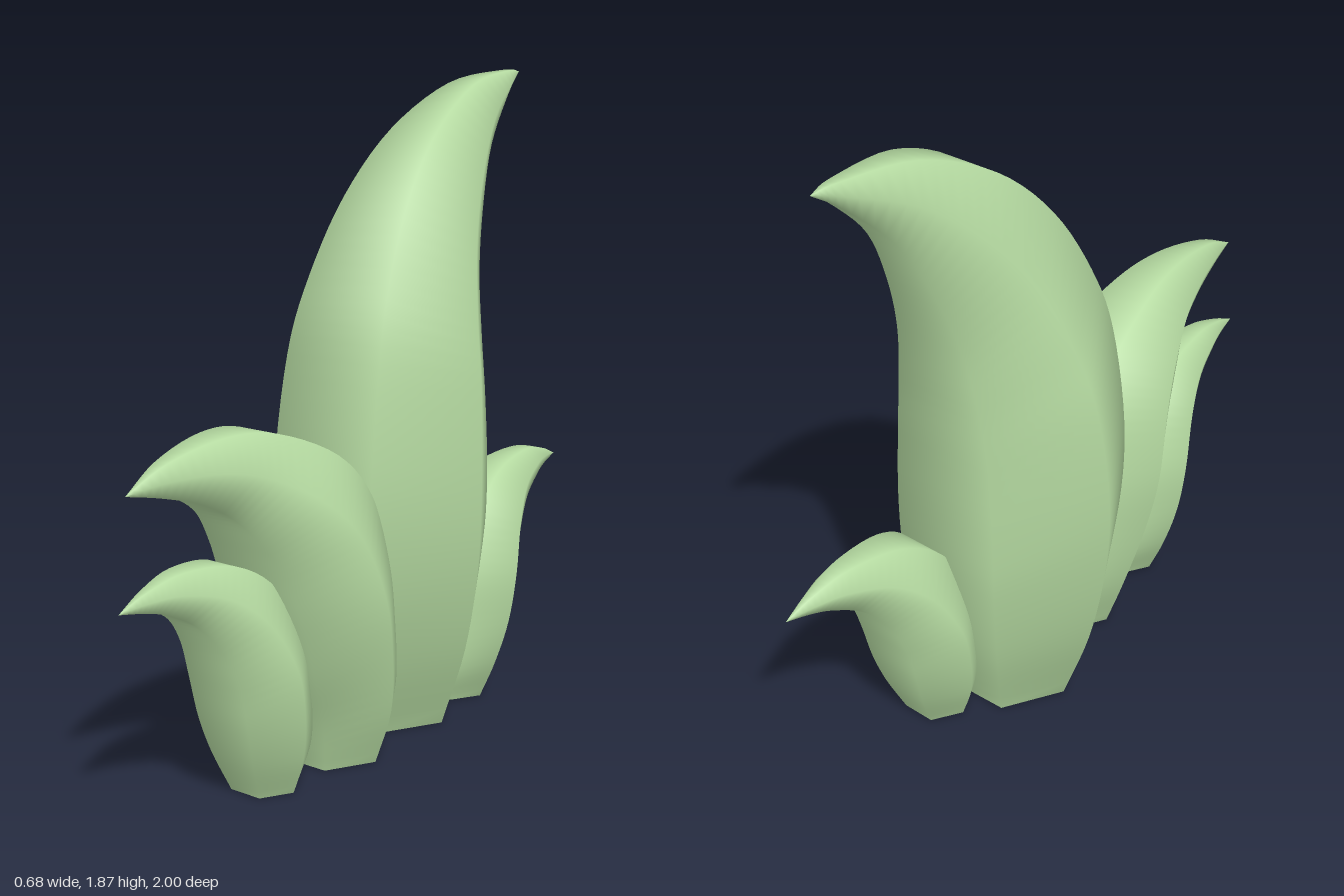
import * as THREE from 'three';

const material = new THREE.MeshStandardMaterial({ color: 0xb5daa1 });

// Stations from base to tip: [front z, front y, back z, back y, half width]
const TALL = [
  [-0.025, 0, -0.365, 0, 0.2], [0.06, 0.25, -0.43, 0.25, 0.285],
  [0.115, 0.5, -0.465, 0.5, 0.33], [0.125, 0.78, -0.472, 0.7, 0.34],
  [0.075, 1.12, -0.472, 0.93, 0.318], [0, 1.335, -0.48, 1.12, 0.275],
  [-0.13, 1.55, -0.505, 1.3, 0.22], [-0.316, 1.727, -0.565, 1.48, 0.16],
  [-0.56, 1.845, -0.66, 1.66, 0.093], [-0.8, 1.873, -0.8, 1.803, 0.032],
  [-0.885, 1.866, -0.885, 1.866, 0],
];
const MIDDLE = [
  [0.284, 0, 0.016, 0, 0.155], [0.327, 0.155, -0.016, 0.18, 0.212],
  [0.39, 0.316, 0.02, 0.41, 0.252], [0.445, 0.477, 0.06, 0.585, 0.265],
  [0.504, 0.627, 0.123, 0.77, 0.24], [0.56, 0.72, 0.247, 0.906, 0.2],
  [0.64, 0.81, 0.46, 1.003, 0.138], [0.74, 0.872, 0.643, 1.027, 0.092],
  [0.86, 0.912, 0.836, 0.997, 0.042], [0.97, 0.938, 0.97, 0.938, 0],
];
const SMALL = [
  [0.533, 0, 0.363, 0, 0.1], [0.585, 0.12, 0.335, 0.11, 0.145],
  [0.62, 0.23, 0.352, 0.26, 0.174], [0.652, 0.355, 0.386, 0.42, 0.178],
  [0.7, 0.47, 0.477, 0.585, 0.145], [0.77, 0.557, 0.61, 0.676, 0.1],
  [0.86, 0.609, 0.783, 0.702, 0.058], [0.927, 0.629, 0.906, 0.68, 0.026],
  [1, 0.643, 1, 0.643, 0],
];

// Six-sided curved leaf lofted between a front and a back edge curve
function leafGeometry(stations) {
  const curve = (pick) => new THREE.CatmullRomCurve3(stations.map(pick), false, 'catmullrom', 0.5);
  const front = curve(([z, y, , , w]) => new THREE.Vector3(w / 2, y, z));
  const back = curve(([, , z, y, w]) => new THREE.Vector3(w / 2, y, z));
  const rings = (stations.length - 1) * 5;
  const positions = [];
  const index = [];
  const addRing = (t) => {
    const f = front.getPoint(t);
    const b = back.getPoint(t);
    const w = f.x + b.x;
    const y = (f.y + b.y) / 2;
    const z = (f.z + b.z) / 2;
    positions.push(w, y, z, f.x, f.y, f.z, -f.x, f.y, f.z,
      -w, y, z, -b.x, b.y, b.z, b.x, b.y, b.z);
  };
  for (let i = 0; i <= rings; i++) addRing(i / rings);
  for (let i = 0; i < rings; i++) {
    for (let j = 0; j < 6; j++) {
      const a = i * 6 + j;
      const b = i * 6 + (j + 1) % 6;
      index.push(a, a + 6, b);
      if (i < rings - 1) index.push(b, a + 6, b + 6);
    }
  }
  // flat base with its own corners, so its rim stays sharp
  const base = positions.length / 3;
  addRing(0);
  for (let j = 1; j < 5; j++) index.push(base, base + j, base + j + 1);

  const geometry = new THREE.BufferGeometry();
  geometry.setAttribute('position', new THREE.Float32BufferAttribute(positions, 3));
  geometry.setIndex(index);
  geometry.computeVertexNormals();
  return geometry;
}

export function createModel() {
  const group = new THREE.Group();
  group.name = 'leafCluster';
  const addLeaf = (name, geometry, x, z, turn) => {
    const leaf = new THREE.Mesh(geometry, material);
    leaf.name = name;
    leaf.position.set(x, 0, z);
    leaf.rotation.y = turn;
    group.add(leaf);
  };

  // Leaves in a row, the tall one and the rear one curling backwards
  const small = leafGeometry(SMALL);
  addLeaf('tallLeaf', leafGeometry(TALL), 0, 0, 0.03);
  addLeaf('middleLeaf', leafGeometry(MIDDLE), 0.055, 0, 0.02);
  addLeaf('frontSmallLeaf', small, 0.055, 0, 0.015);
  addLeaf('rearSmallLeaf', small, 0.063, 0, Math.PI);
  return group;
}
